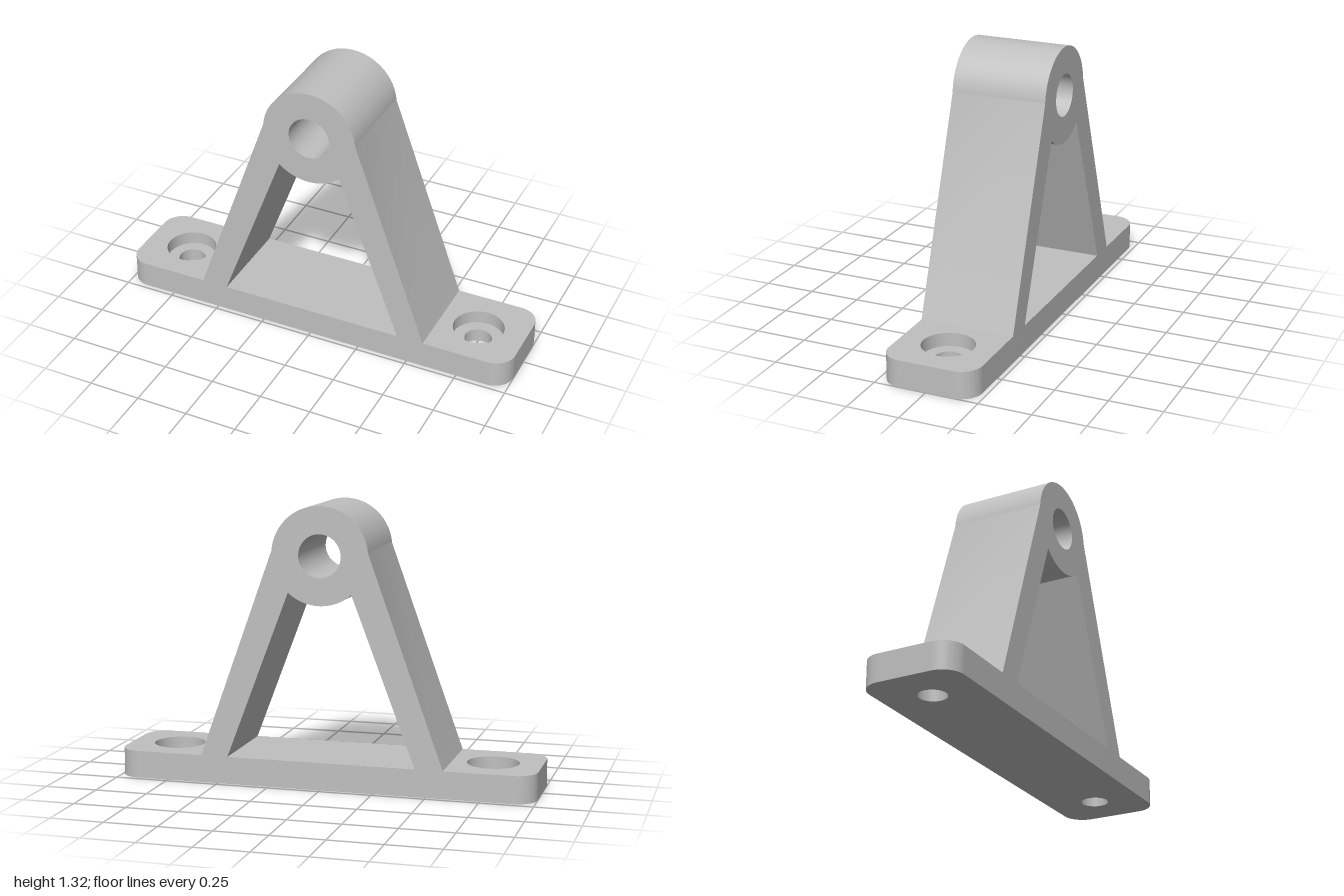
import * as THREE from 'three';
import { toCreasedNormals } from 'three/addons/utils/BufferGeometryUtils.js';

const DEPTH = 0.456, HALF = DEPTH / 2;
const BASE_H = 0.13, FLOOR_H = 0.065;
const BOSS_Y = 1.09, BOSS_R = 0.228, BORE_R = 0.1;

function circle(x, y, r) {
  return new THREE.Path().absarc(x, y, r, 0, Math.PI * 2, true);
}

function extrude(shape, depth) {
  const geo = new THREE.ExtrudeGeometry(shape, { depth, bevelEnabled: false, curveSegments: 32 });
  return toCreasedNormals(geo, 0.35);
}

// Rounded plate layer with one screw hole at each end
function plateLayer(height, holeR) {
  const r = 0.1, x = 1 - r, y = HALF - r;
  const s = new THREE.Shape();
  s.absarc(x, y, r, 0, Math.PI / 2);
  s.absarc(-x, y, r, Math.PI / 2, Math.PI);
  s.absarc(-x, -y, r, Math.PI, Math.PI * 1.5);
  s.absarc(x, -y, r, Math.PI * 1.5, Math.PI * 2);
  s.closePath();
  for (const side of [-1, 1]) s.holes.push(circle(side * 0.77, 0, holeR));
  return extrude(s, height).rotateX(-Math.PI / 2);
}

// Two sloping legs joined by the round bearing boss
function frameGeometry() {
  const outer = Math.asin(0.02 / BOSS_R);
  const inner = Math.acos(0.15 / BOSS_R);
  const s = new THREE.Shape();
  s.moveTo(0.45, BASE_H);
  s.lineTo(0.58, BASE_H);
  s.absarc(0, BOSS_Y, BOSS_R, outer, Math.PI - outer, false);
  s.lineTo(-0.58, BASE_H);
  s.lineTo(-0.45, BASE_H);
  s.absarc(0, BOSS_Y, BOSS_R, Math.PI + inner, Math.PI * 2 - inner, false);
  s.closePath();
  s.holes.push(circle(0, BOSS_Y, BORE_R));
  return extrude(s, DEPTH).translate(0, 0, -HALF);
}

export function createModel() {
  const grey = new THREE.MeshStandardMaterial({ color: 0xbfbfbf });
  grey.name = 'grey metal';
  const model = new THREE.Group();
  model.name = 'bearingBracket';

  const add = (name, geo, parent) => {
    const mesh = new THREE.Mesh(geo, grey);
    mesh.name = name;
    parent.add(mesh);
    return mesh;
  };

  // Base plate: narrow screw holes below, wide counterbores above
  const base = new THREE.Group();
  base.name = 'basePlate';
  model.add(base);
  add('screwHoleLayer', plateLayer(FLOOR_H, 0.065), base);
  add('counterboreLayer', plateLayer(BASE_H - FLOOR_H, 0.122), base).position.y = FLOOR_H;

  add('legsAndBoss', frameGeometry(), model);
  return model;
}
